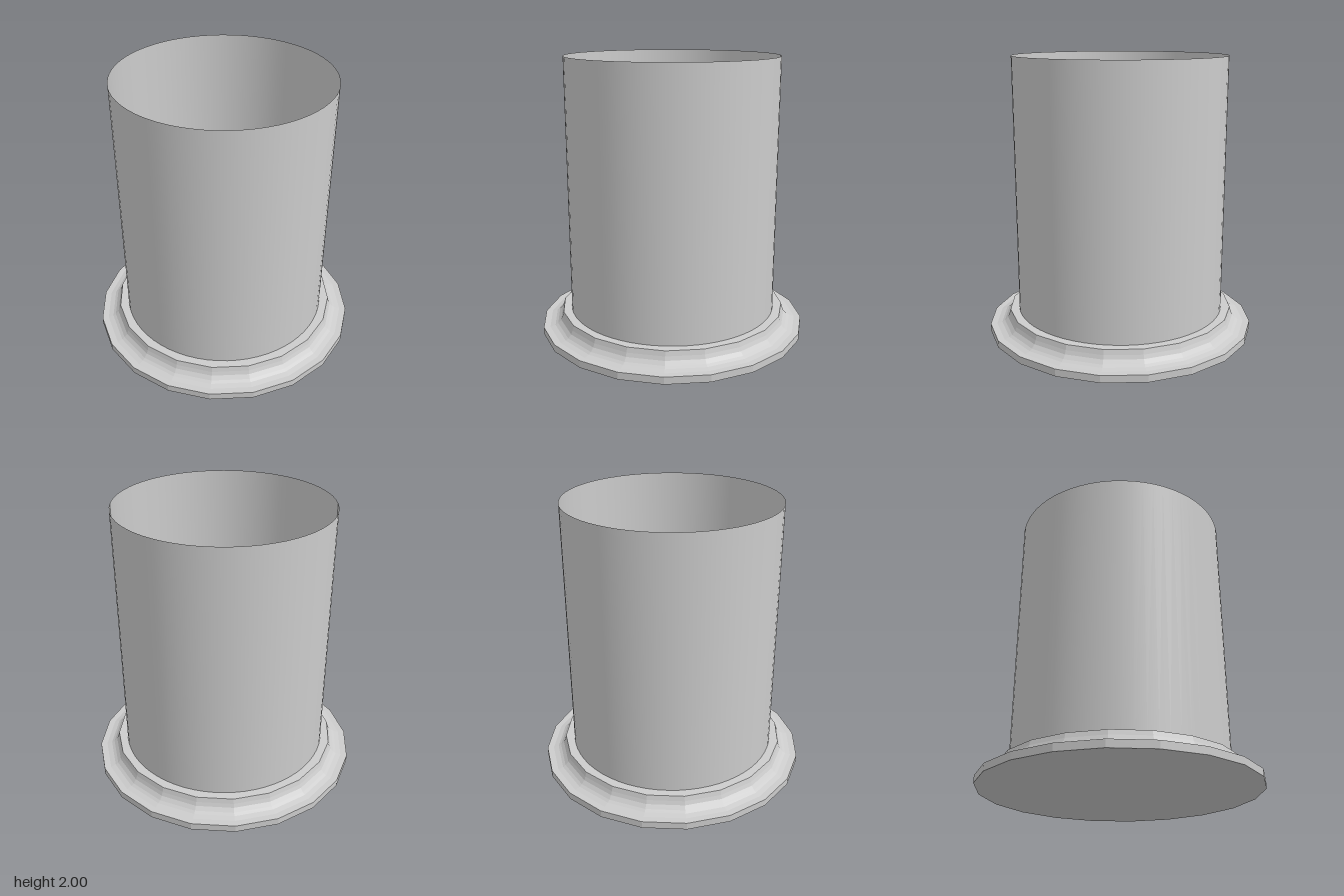
import * as THREE from 'three';

export function createModel() {
  const model = new THREE.Group();
  const grey = { color: 0xcccccc };

  // Solid twenty-sided foot: flat rim, concave cove, flat top
  const profile = [
    [0, 0], [0.973, 0], [0.973, 0.052], [0.925, 0.052], [0.888, 0.061],
    [0.868, 0.073], [0.845, 0.097], [0.834, 0.123], [0.824, 0.158], [0, 0.158],
  ].map(([r, y]) => new THREE.Vector2(r, y));
  const base = new THREE.Mesh(
    new THREE.LatheGeometry(profile, 20),
    new THREE.MeshStandardMaterial({ ...grey, flatShading: true })
  );
  base.name = 'base';
  model.add(base);

  // Thin open-topped cylinder standing on the foot
  const bottom = 0.158, top = 2;
  const tube = new THREE.Mesh(
    new THREE.CylinderGeometry(0.757, 0.757, top - bottom, 64, 1, true),
    new THREE.MeshStandardMaterial({ ...grey, side: THREE.DoubleSide })
  );
  tube.name = 'tube';
  tube.position.y = (top + bottom) / 2;
  model.add(tube);

  return model;
}
